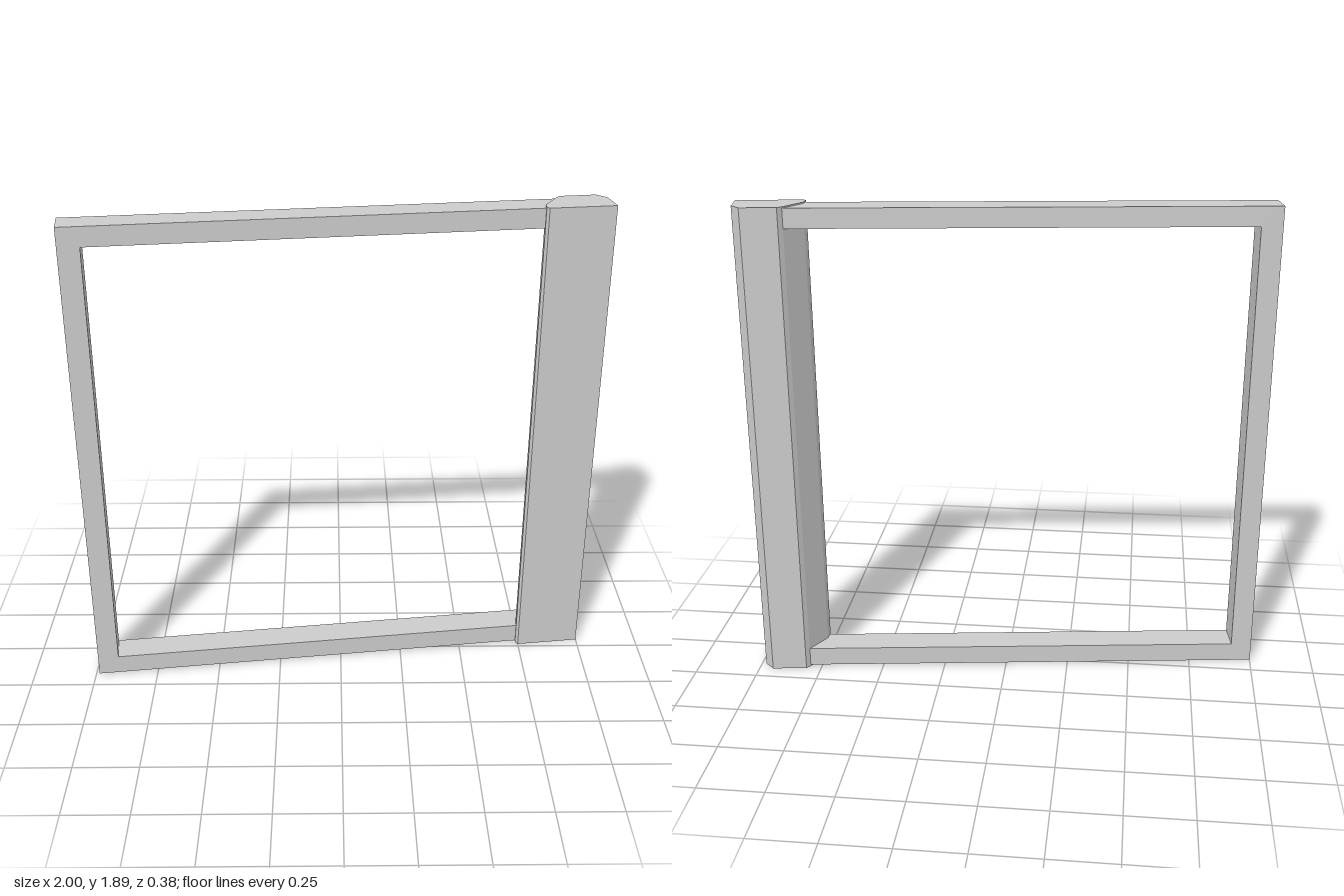
import * as THREE from 'three';

const HEIGHT = 1.89;
const ANGLE = Math.atan(0.1257); // the frame stands slightly turned about y

const polygon = (pts) => new THREE.Shape(pts.map(([x, y]) => new THREE.Vector2(x, y)));

export function createModel() {
  const model = new THREE.Group();
  model.name = 'windowFrame';
  const material = new THREE.MeshStandardMaterial({ color: 0xcccccc, flatShading: true });

  // Top rail, bottom rail and outer stile as one C-shaped frame, ending inside the post
  const length = 1.86, rail = 0.075, stile = 0.081;
  const bottom = 0.007, top = 1.885;
  const frame = new THREE.Mesh(
    new THREE.ExtrudeGeometry(polygon([
      [0, bottom], [length, bottom], [length, bottom + rail], [stile, bottom + rail],
      [stile, top - rail], [length, top - rail], [length, top], [0, top],
    ]), { depth: 0.116, bevelEnabled: false }),
    material);
  frame.name = 'railsAndStile';
  frame.rotation.y = ANGLE;
  frame.position.set(-1, 0, 0.07);
  model.add(frame);

  // Upright post: plan profile in x and z, extruded upwards
  const profile = [
    [0.75, -0.014], [1.0, -0.045], [0.983, -0.155], [0.945, -0.19], [0.81, -0.173],
    [0.796, -0.156], [0.742, -0.062], [0.74, -0.025],
  ];
  const postGeometry = new THREE.ExtrudeGeometry(
    polygon(profile.map(([x, z]) => [x, -z])), { depth: HEIGHT, bevelEnabled: false });
  postGeometry.rotateX(-Math.PI / 2);
  const post = new THREE.Mesh(postGeometry, material);
  post.name = 'post';
  model.add(post);

  return model;
}
